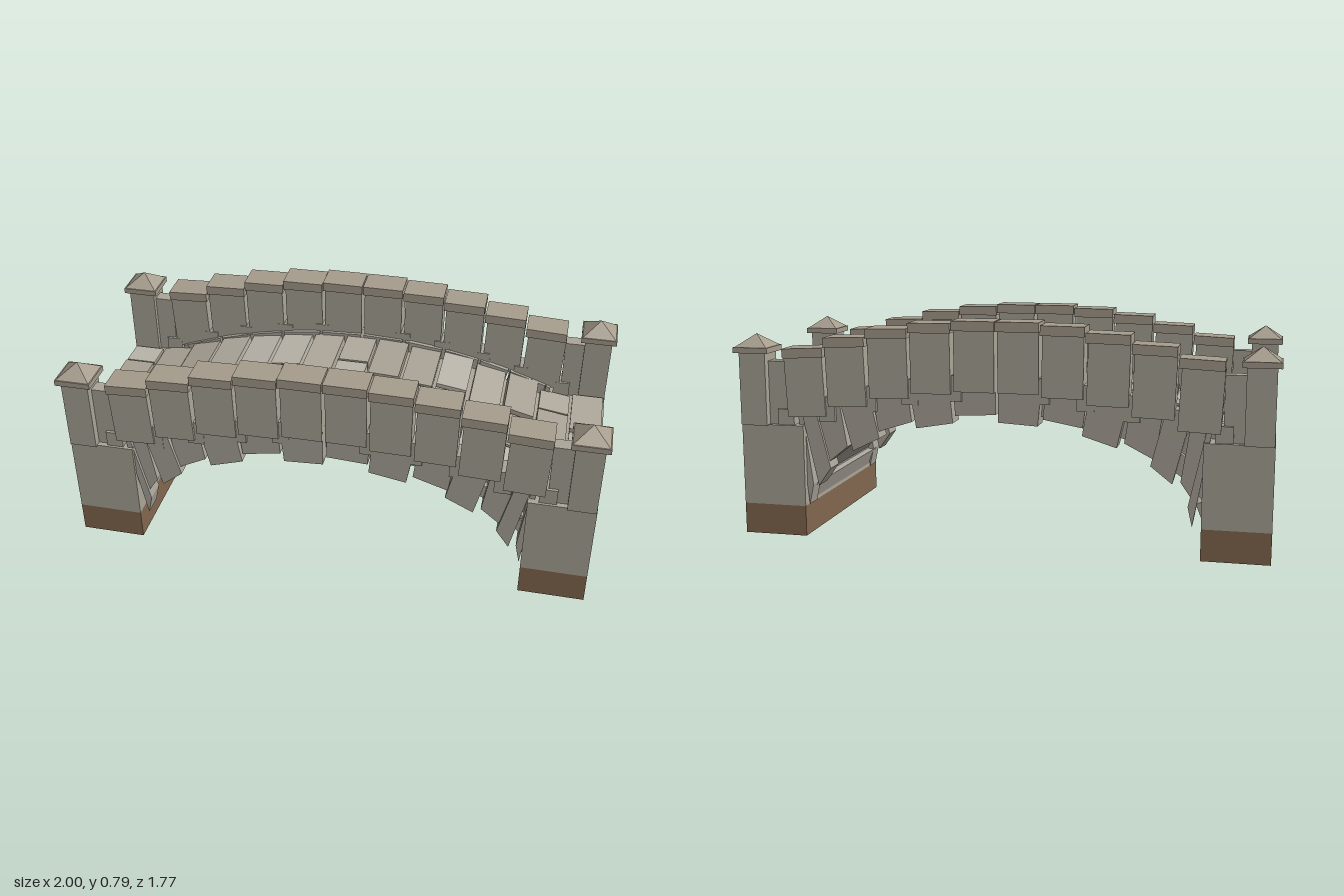
import * as THREE from 'three';

const mat = (color) => new THREE.MeshStandardMaterial({ color, flatShading: true, roughness: 0.9 });

export function createModel() {
  const root = new THREE.Group();
  root.name = 'stoneBridge';
  const bridge = new THREE.Group();
  bridge.name = 'bridge';
  bridge.rotation.y = 0.64; // the span lies diagonally on the ground
  root.add(bridge);

  const earth = mat(0x84684f);
  const wall = mat(0xaba698);
  const coping = mat(0xa69d8d);
  const vault = mat(0xaca79c);
  const paving = [mat(0xbab5aa), mat(0xb1ab9e), mat(0xa9a295)];

  let seed = 7;
  const rnd = () => (seed = (seed * 16807) % 2147483647) / 2147483647;

  const add = (name, geo, material, x = 0, y = 0, z = 0, tilt = 0) => {
    const m = new THREE.Mesh(geo, material);
    m.name = name;
    m.position.set(x, y, z);
    m.rotation.z = tilt;
    bridge.add(m);
    return m;
  };
  const box = (name, material, w, h, d, x, y, z, tilt) =>
    add(name, new THREE.BoxGeometry(w, h, d), material, x, y, z, tilt);
  // Prism with a side outline in x/y, running from z0 to z1
  const prism = (name, material, pts, z0, z1) => {
    const shape = new THREE.Shape(pts.map((p) => new THREE.Vector2(p[0], p[1])));
    add(name, new THREE.ExtrudeGeometry(shape, { depth: z1 - z0, bevelEnabled: false }), material, 0, 0, z0);
  };

  // Height of the road along the span
  const deckY = (x) => Math.max(0.42, 0.57 - 0.15 * (x / 0.75) ** 2);
  // Point on the arch underside, pushed outward by r
  const arch = (t, r) => [(0.69 + r) * Math.cos(t), 0.11 + (0.35 + r) * Math.sin(t)];

  // Abutments, corner pillars with pyramid caps, filler posts
  for (const s of [-1, 1]) {
    box('footing', earth, 0.233, 0.11, 0.75, s * 0.8195, 0.055, 0);
    box('abutment', wall, 0.233, 0.293, 0.75, s * 0.8195, 0.2565, 0);
    for (const k of [-1, 1]) {
      const x = s * 0.885, z = k * 0.335;
      box('pillar', wall, 0.098, 0.26, 0.098, x, 0.53, z);
      box('pillarCapSlab', coping, 0.128, 0.02, 0.128, x, 0.67, z);
      const roof = new THREE.ConeGeometry(0.06 * Math.SQRT2, 0.045, 4);
      roof.rotateY(Math.PI / 4);
      add('pillarCap', roof, coping, x, 0.7025, z);
      box('fillerPost', wall, 0.07, 0.23, 0.05, s * 0.802, 0.515, k * 0.33);
    }
  }

  // Vault courses across the full width, with a saw-tooth underside
  const N = 15;
  for (let i = 0; i < N; i++) {
    const t0 = (i / N) * Math.PI, t1 = ((i + 1) / N) * Math.PI;
    const lift = i % 2 ? 0.018 : 0.004;
    const left = i >= N / 2;
    prism('vaultCourse', vault, [
      arch(t0, lift + (left ? 0 : 0.014)), arch(t1, lift + (left ? 0.014 : 0)),
      arch(t1 - 0.008, 0.075), arch(t0 + 0.008, 0.075),
    ], -0.315, 0.315);
  }

  // Face stones of the arch, reaching from the underside up to the parapet
  const M = 14;
  const topX = (t) => 0.73 * Math.cos(t);
  const topY = (t) => Math.max(0.4, deckY(topX(t)) + 0.01);
  for (const k of [-1, 1]) {
    for (let i = 0; i < M; i++) {
      const t0 = (i / M) * Math.PI + 0.008, t1 = ((i + 1) / M) * Math.PI - 0.008;
      const dip = i % 2 ? -0.018 : 0.006;
      const out = 0.352 + (i % 2 ? 0.012 : 0);
      prism('archFaceStone', vault, [
        arch(t0, dip), arch(t1, dip), [topX(t1), topY(t1)], [topX(t0), topY(t0)],
      ], k > 0 ? 0.285 : -out, k > 0 ? out : -0.285);
    }
  }

  // Parapets: five stepped stones each way from the crown, on both sides
  const tops = [0.79, 0.78, 0.758, 0.724, 0.682];
  const pitch = 0.154;
  for (const k of [-1, 1]) {
    for (const s of [-1, 1]) {
      tops.forEach((top, i) => {
        const x = s * (i + 0.5) * pitch;
        const tilt = -s * i * 0.012;
        const z = k * (0.335 + (i % 2) * 0.004);
        box('parapetStone', wall, pitch - 0.012, 0.215, 0.076, x, top - 0.138, z, tilt);
        box('copingStone', coping, pitch - 0.004, 0.034, 0.108, x, top - 0.017, k * 0.337, tilt);
        // Small block bridging each joint at the foot of the wall
        box('jointBlock', wall, 0.06, 0.09, 0.07, s * (i + 1) * pitch, top - 0.235 - i * 0.008, k * 0.331);
      });
    }
  }

  // Road paving: rows of three stones with shifting joints
  const rows = 15, rowW = 1.87 / rows;
  for (let r = 0; r < rows; r++) {
    const x = (r + 0.5) * rowW - 0.935;
    const slope = (deckY(x + 0.05) - deckY(x - 0.05)) / 0.1;
    const half = Math.abs(x) > 0.82 ? 0.284 : 0.296;
    const a = -0.1 + (rnd() - 0.5) * 0.14, b = 0.1 + (rnd() - 0.5) * 0.14;
    const cuts = [-half, a, b, half];
    for (let j = 0; j < 3; j++) {
      const w = cuts[j + 1] - cuts[j];
      box('pavingStone', paving[Math.floor(rnd() * 3)], rowW - 0.012, 0.045, w - 0.012,
        x, deckY(x) - 0.0225 + (rnd() - 0.5) * 0.016, (cuts[j] + cuts[j + 1]) / 2, Math.atan(slope) * 0.8);
    }
  }

  // Rubble bed that closes the joints beneath the paving
  const bed = [];
  for (let i = 0; i <= 12; i++) {
    const x = -0.72 + i * 0.12;
    bed.push([x, deckY(x) - 0.032]);
  }
  for (let i = 12; i >= 0; i--) {
    const t = 0.25 + (i / 12) * (Math.PI - 0.5);
    bed.push(arch(Math.PI - t, 0.035));
  }
  prism('roadBed', paving[2], bed, -0.29, 0.29);

  return root;
}
